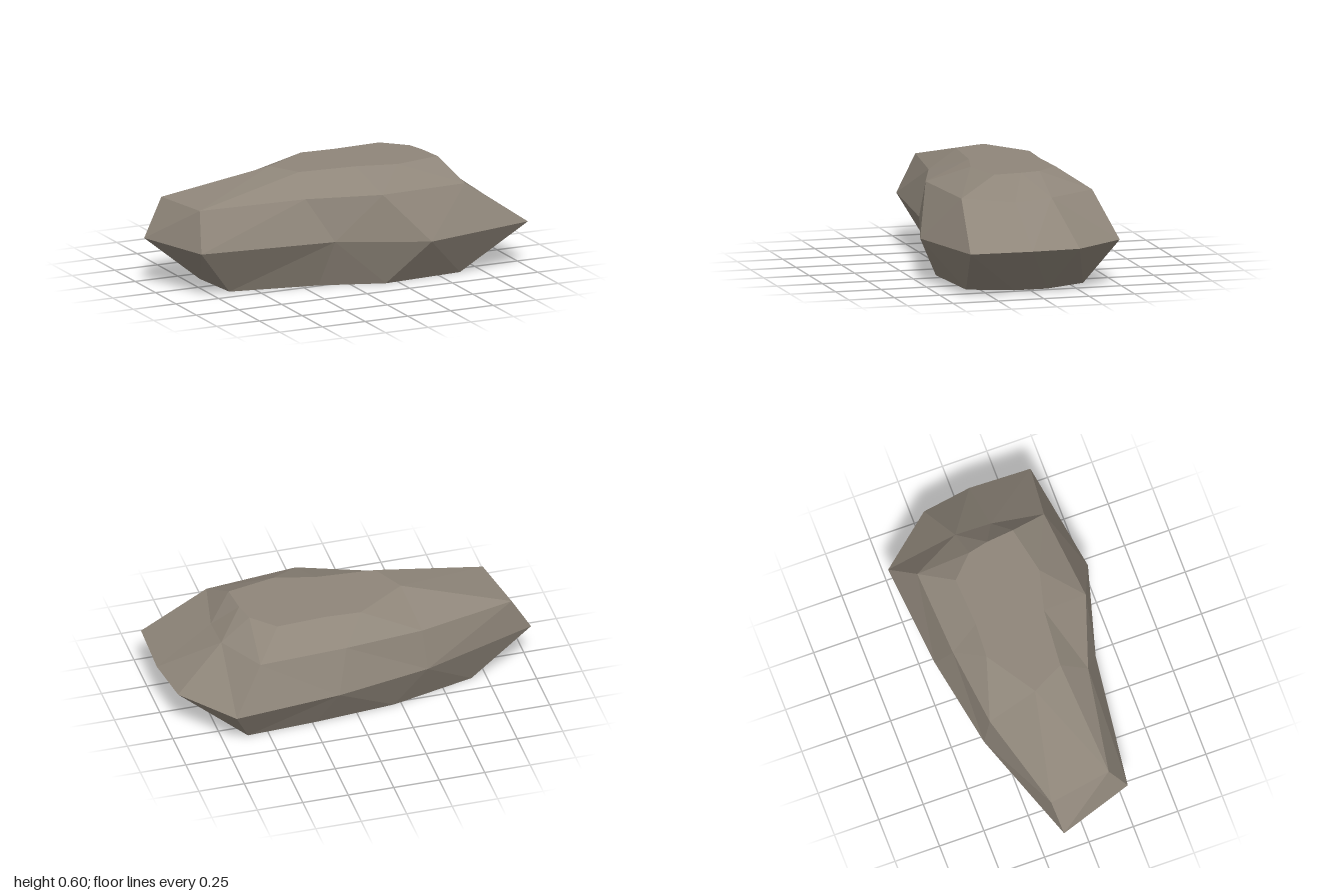
import * as THREE from 'three';

// Four ten-sided cross-sections [x, y, z], from the ground to the flat top,
// each running counter-clockwise as seen from above.
const at = (y, pts) => pts.map(([x, z]) => [x, y, z]);
const RINGS = [
  at(0, [[-0.67, -0.15], [-0.64, 0.15], [-0.16, 0.24], [0.18, 0.355], [0.63, 0.32],
    [0.72, 0.08], [0.72, -0.1], [0.61, -0.33], [0.23, -0.31], [-0.21, -0.27]]),
  [[-1, 0.265, -0.14], [-0.86, 0.258, 0.27], [-0.12, 0.262, 0.36], [0.38, 0.24, 0.5], [0.99, 0.255, 0.4],
    [1, 0.255, 0.06], [0.96, 0.25, -0.21], [0.72, 0.243, -0.5], [0.14, 0.25, -0.45], [-0.37, 0.26, -0.36]],
  [[-0.885, 0.47, -0.17], [-0.825, 0.47, 0.175], [-0.25, 0.49, 0.27], [0.14, 0.5, 0.4], [0.645, 0.493, 0.35],
    [0.7, 0.468, 0.07], [0.7, 0.484, -0.13], [0.56, 0.49, -0.395], [0.08, 0.49, -0.37], [-0.35, 0.485, -0.32]],
  at(0.6, [[-0.31, -0.05], [-0.22, 0.125], [0.1, 0.15], [0.32, 0.205], [0.58, 0.15],
    [0.565, 0], [0.54, -0.11], [0.42, -0.23], [0.15, -0.215], [-0.04, -0.225]]),
];

const distance = (a, b) => Math.hypot(a[0] - b[0], a[1] - b[1], a[2] - b[2]);

function centre(ring) {
  return [0, 1, 2].map((k) => ring.reduce((sum, p) => sum + p[k], 0) / ring.length);
}

function buildRock() {
  const positions = [];
  const triangle = (a, b, c) => positions.push(...a, ...b, ...c);
  const count = RINGS[0].length;

  // Sides: each quad is split along its shorter diagonal
  for (let r = 0; r < RINGS.length - 1; r++) {
    for (let i = 0; i < count; i++) {
      const j = (i + 1) % count;
      const a = RINGS[r][i], b = RINGS[r][j];
      const c = RINGS[r + 1][j], d = RINGS[r + 1][i];
      if (distance(a, c) < distance(b, d)) {
        triangle(a, b, c);
        triangle(a, c, d);
      } else {
        triangle(a, b, d);
        triangle(b, c, d);
      }
    }
  }

  // Flat base and flat top
  const base = RINGS[0], top = RINGS[RINGS.length - 1];
  const baseCentre = centre(base), topCentre = centre(top);
  for (let i = 0; i < count; i++) {
    const j = (i + 1) % count;
    triangle(baseCentre, base[j], base[i]);
    triangle(topCentre, top[i], top[j]);
  }

  const geometry = new THREE.BufferGeometry();
  geometry.setAttribute('position', new THREE.Float32BufferAttribute(positions, 3));
  geometry.computeVertexNormals(); // unshared corners give faceted normals
  return geometry;
}

export function createModel() {
  const stone = new THREE.MeshStandardMaterial({ color: 0x8f867a });
  stone.name = 'stone';

  const group = new THREE.Group();
  group.name = 'rock';
  const boulder = new THREE.Mesh(buildRock(), stone);
  boulder.name = 'boulder';
  group.add(boulder);
  return group;
}
